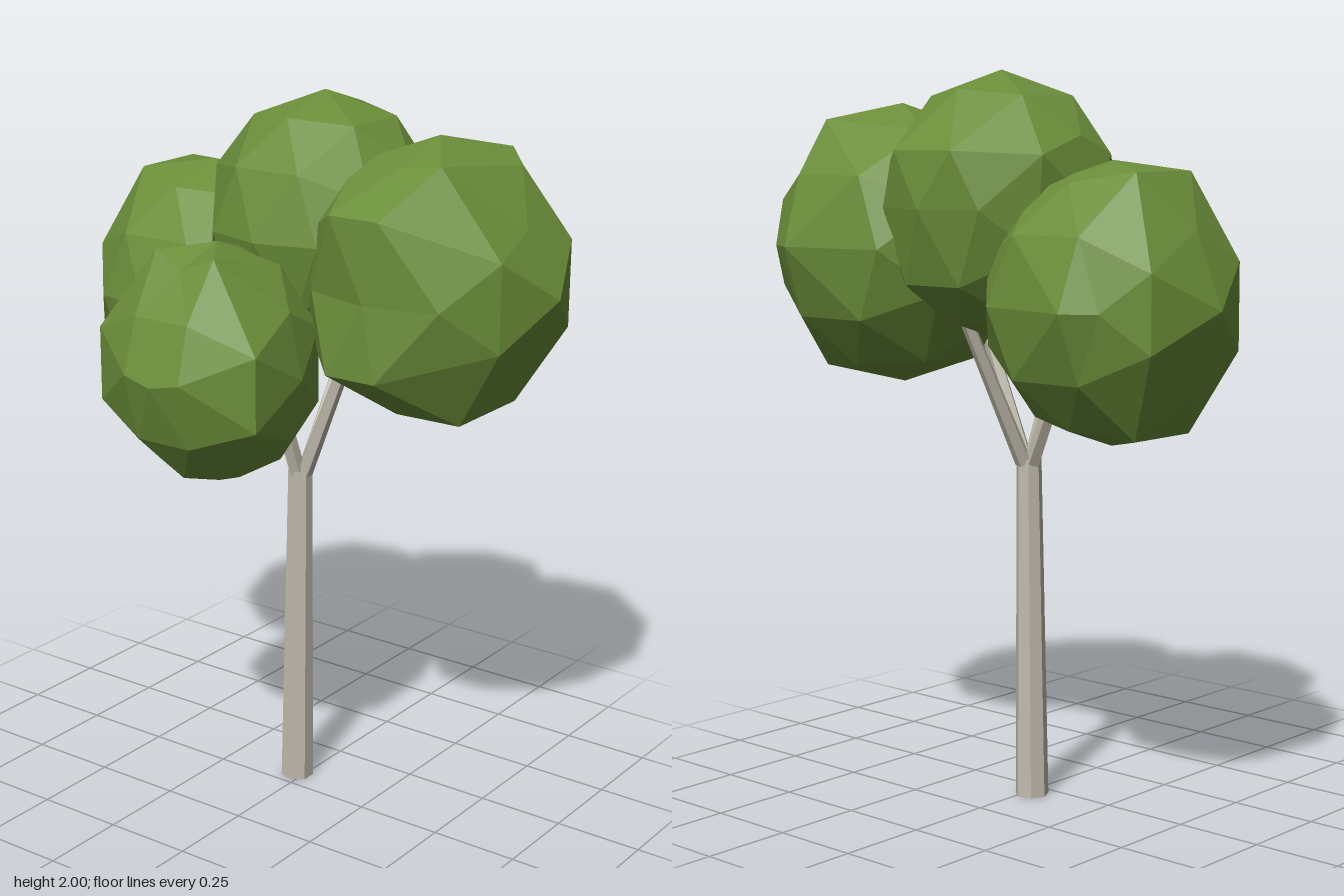
import * as THREE from 'three';

const leafGreen = new THREE.MeshStandardMaterial({ color: 0x6b8e3a, flatShading: true });
leafGreen.name = 'leafGreen';
const barkGrey = new THREE.MeshStandardMaterial({ color: 0xc0bbad, flatShading: true });
barkGrey.name = 'barkGrey';

// Faceted leaf clump: an icosphere whose corners nearest to a few knobs move onto them
function leafClump(name, centre, radii, knobs) {
  const geo = new THREE.IcosahedronGeometry(1, 1);
  const pos = geo.attributes.position;
  const c = new THREE.Vector3(...centre);
  const r = new THREE.Vector3(...radii);
  const unit = Array.from({ length: pos.count }, (_, i) => new THREE.Vector3().fromBufferAttribute(pos, i));
  geo.scale(...radii).translate(...centre);
  for (const knob of knobs) {
    const dir = new THREE.Vector3(...knob).sub(c).divide(r).normalize();
    const best = Math.max(...unit.map((u) => u.dot(dir)));
    unit.forEach((u, i) => {
      if (u.dot(dir) > best - 1e-4) pos.setXYZ(i, ...knob);
    });
  }
  geo.computeVertexNormals();
  const mesh = new THREE.Mesh(geo, leafGreen);
  mesh.name = name;
  return mesh;
}

// Tapered limb between two points
function limb(name, from, to, r0, r1, sides) {
  const a = new THREE.Vector3(...from);
  const b = new THREE.Vector3(...to);
  const geo = new THREE.CylinderGeometry(r1, r0, a.distanceTo(b), sides).rotateY(Math.PI);
  const mesh = new THREE.Mesh(geo, barkGrey);
  mesh.position.copy(a).lerp(b, 0.5);
  mesh.quaternion.setFromUnitVectors(new THREE.Vector3(0, 1, 0), b.sub(a).normalize());
  mesh.name = name;
  return mesh;
}

// The same knob at two depths, heights or widths
const pairX = (x0, x1, y, z) => [[x0, y, z], [x1, y, z]];
const pairY = (x, y0, y1, z) => [[x, y0, z], [x, y1, z]];
const pairZ = (x, y, z0, z1) => [[x, y, z0], [x, y, z1]];

export function createModel() {
  const tree = new THREE.Group();
  tree.name = 'tree';

  // Trunk
  tree.add(limb('trunk', [0.061, 0, -0.022], [0.062, 0.95, -0.013], 0.047, 0.035, 7));

  // Branches, one into each clump
  const tips = {
    frontBranch: [0.065, 1.32, 0.15],
    leftBranch: [0.28, 1.36, 0.025],
    rightBranch: [-0.07, 1.32, -0.035],
    backBranch: [0.1, 1.28, -0.2],
  };
  for (const [name, tip] of Object.entries(tips)) {
    const start = [0.062 + (tip[0] - 0.062) * 0.08, 0.94, -0.013 + (tip[2] + 0.013) * 0.08];
    tree.add(limb(name, start, tip, 0.024, 0.018, 5));
  }

  // Leaf clumps
  tree.add(
    leafClump('frontClump', [0.165, 1.53, 0.36], [0.35, 0.385, 0.373], [
      [0.52, 1.53, 0.46],
      ...pairX(0, 0.35, 1.87, 0.47),
      ...pairX(0.02, 0.3, 1.19, 0.53),
      ...pairY(0.165, 1.36, 1.7, 0.63),
      ...pairZ(-0.18, 1.75, 0.25, 0.4),
      ...pairZ(-0.19, 1.33, 0.25, 0.4),
    ]),
    leafClump('topClump', [0.155, 1.64, 0], [0.325, 0.36, 0.325], [
      ...pairZ(0.42, 1.44, -0.09, 0.1),
      ...pairZ(0.46, 1.79, -0.1, 0.1),
      ...pairX(0.05, 0.32, 1.78, -0.29),
    ]),
    leafClump('backClump', [0.165, 1.4, -0.39], [0.325, 0.367, 0.35], [
      [0.495, 1.4, -0.49],
      ...pairY(0.165, 1.2, 1.6, -0.66),
      ...pairY(0.37, 1.3, 1.5, -0.68),
      ...pairX(0.06, 0.28, 1.74, -0.56),
      ...pairX(0.06, 0.28, 1.07, -0.56),
    ]),
    leafClump('sideClump', [-0.235, 1.32, -0.065], [0.29, 0.33, 0.275], [
      ...pairZ(-0.52, 1.34, -0.15, 0.03),
      ...pairY(-0.42, 1.22, 1.42, 0.2),
      ...pairY(-0.42, 1.22, 1.42, -0.315),
      ...pairZ(-0.37, 1.64, -0.16, 0.03),
    ]),
  );
  return tree;
}
